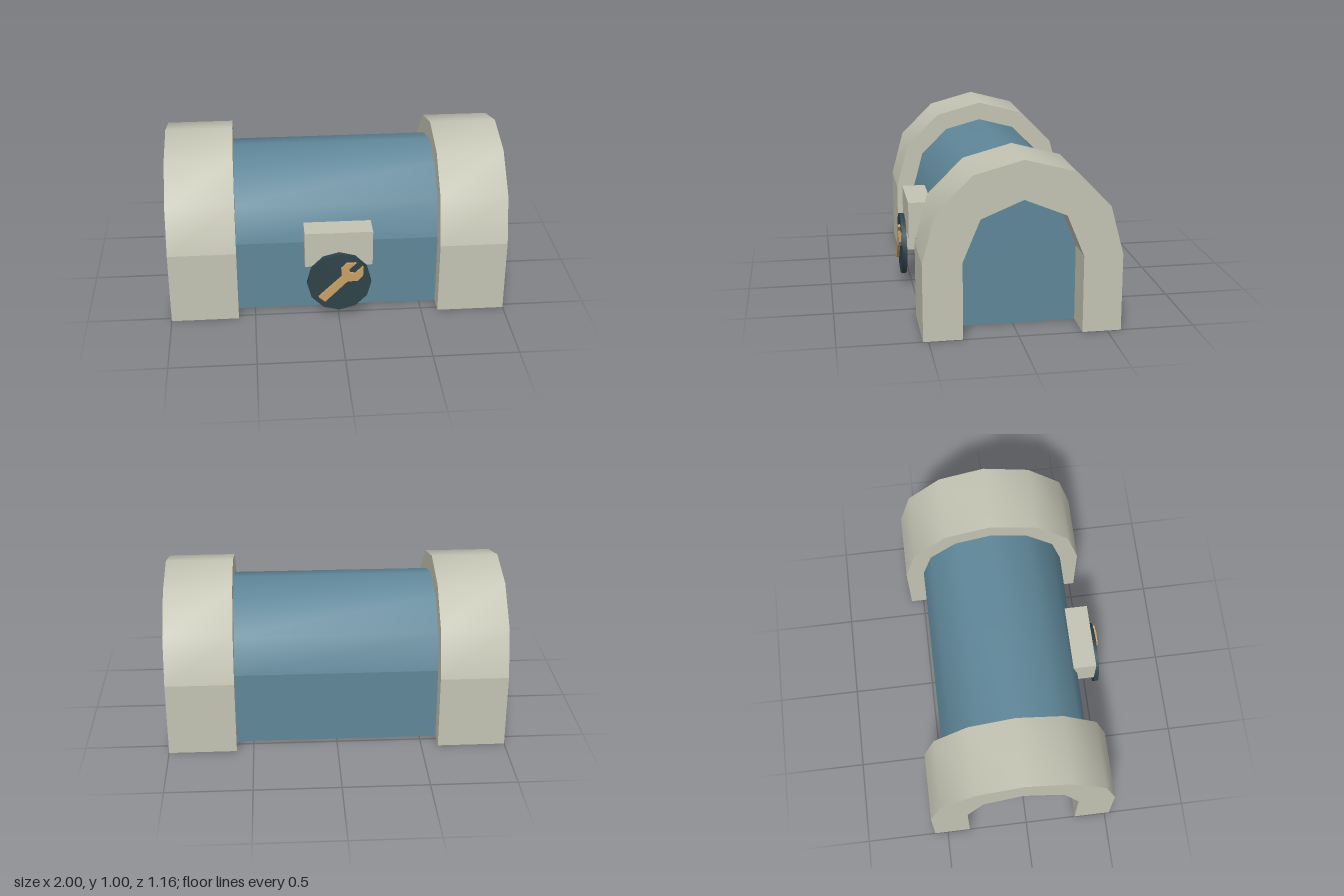
import * as THREE from 'three';
import { toCreasedNormals } from 'three/addons/utils/BufferGeometryUtils.js';

const SPRING = 0.445; // height where the vaults start
const MID_Z = -0.025; // centre line of the vaults

function material(name, color) {
  const m = new THREE.MeshStandardMaterial({ color });
  m.name = name;
  return m;
}

function add(parent, name, geometry, mat, x = 0, y = 0, z = 0) {
  const mesh = new THREE.Mesh(geometry, mat);
  mesh.name = name;
  mesh.position.set(x, y, z);
  parent.add(mesh);
  return mesh;
}

// Points of a faceted half circle, from +x over the top to -x
function halfCircle(r, sides) {
  return Array.from({ length: sides + 1 }, (_, i) => {
    const a = (i / sides) * Math.PI;
    return new THREE.Vector2(r * Math.cos(a), r * Math.sin(a));
  });
}

// Half round vault running along x, softly shaded across its facets
function vault(points, length) {
  const geo = new THREE.ExtrudeGeometry(new THREE.Shape(points), { depth: length, bevelEnabled: false });
  geo.translate(0, 0, -length / 2);
  geo.rotateY(Math.PI / 2);
  return toCreasedNormals(geo, 0.85);
}

export function createModel() {
  const group = new THREE.Group();
  const stone = material('pale stone', 0xc4c4b4);
  const blue = material('dusty blue', 0x5f8799);
  const dark = material('dark slate', 0x2f434a);
  const tan = material('tan', 0xc9a066);
  const blueWithStoneFloor = [blue, blue, blue, stone, blue, blue];

  // Main hall: straight walls below a half round roof
  const hall = new THREE.Group();
  hall.name = 'hall';
  group.add(hall);
  add(hall, 'hallWalls', new THREE.BoxGeometry(1.2, SPRING, 0.886), blueWithStoneFloor, 0, SPRING / 2, MID_Z);
  add(hall, 'hallRoof', vault(halfCircle(0.443, 6), 1.2), blue, 0, SPRING, MID_Z);

  // Arches at both ends, each closed halfway by a recessed blue wall
  const ring = [...halfCircle(0.555, 6), ...halfCircle(0.335, 4).reverse()];
  for (const side of [-1, 1]) {
    const arch = new THREE.Group();
    arch.name = side > 0 ? 'leftArch' : 'rightArch';
    group.add(arch);
    add(arch, 'archVault', vault(ring, 0.4), stone, side * 0.8, SPRING, MID_Z);
    for (const s of [-1, 1]) {
      add(arch, 'archLeg', new THREE.BoxGeometry(0.4, SPRING, 0.22), stone, side * 0.8, SPRING / 2, MID_Z + s * 0.445);
    }
    add(arch, 'endWall', new THREE.BoxGeometry(0.2, SPRING, 0.67), blueWithStoneFloor, side * 0.7, SPRING / 2, MID_Z);
    add(arch, 'endWallTop', vault(halfCircle(0.335, 4), 0.2), blue, side * 0.7, SPRING, MID_Z);
  }

  // Sign: bracket, round plate and wrench emblem
  const sign = new THREE.Group();
  sign.name = 'sign';
  group.add(sign);
  add(sign, 'bracket', new THREE.BoxGeometry(0.4, 0.22, 0.15), stone, 0, 0.45, 0.453);
  const plate = new THREE.CylinderGeometry(0.19, 0.19, 0.03, 12);
  plate.rotateX(Math.PI / 2);
  add(sign, 'signPlate', toCreasedNormals(plate, 0.6), dark, 0, 0.247, 0.552);

  const outline = [
    [-0.123, 0.16], [-0.086, 0.126], [0.048, 0.262], [0.107, 0.262], [0.139, 0.298], [0.139, 0.358],
    [0.092, 0.312], [0.062, 0.318], [0.058, 0.345], [0.098, 0.382], [0.043, 0.382], [0.01, 0.348], [0.014, 0.294],
  ].map(([x, y]) => new THREE.Vector2(x, y));
  const wrench = new THREE.ExtrudeGeometry(new THREE.Shape(outline), { depth: 0.016, bevelEnabled: false });
  add(sign, 'wrench', wrench, tan, 0, 0, 0.567);

  return group;
}
